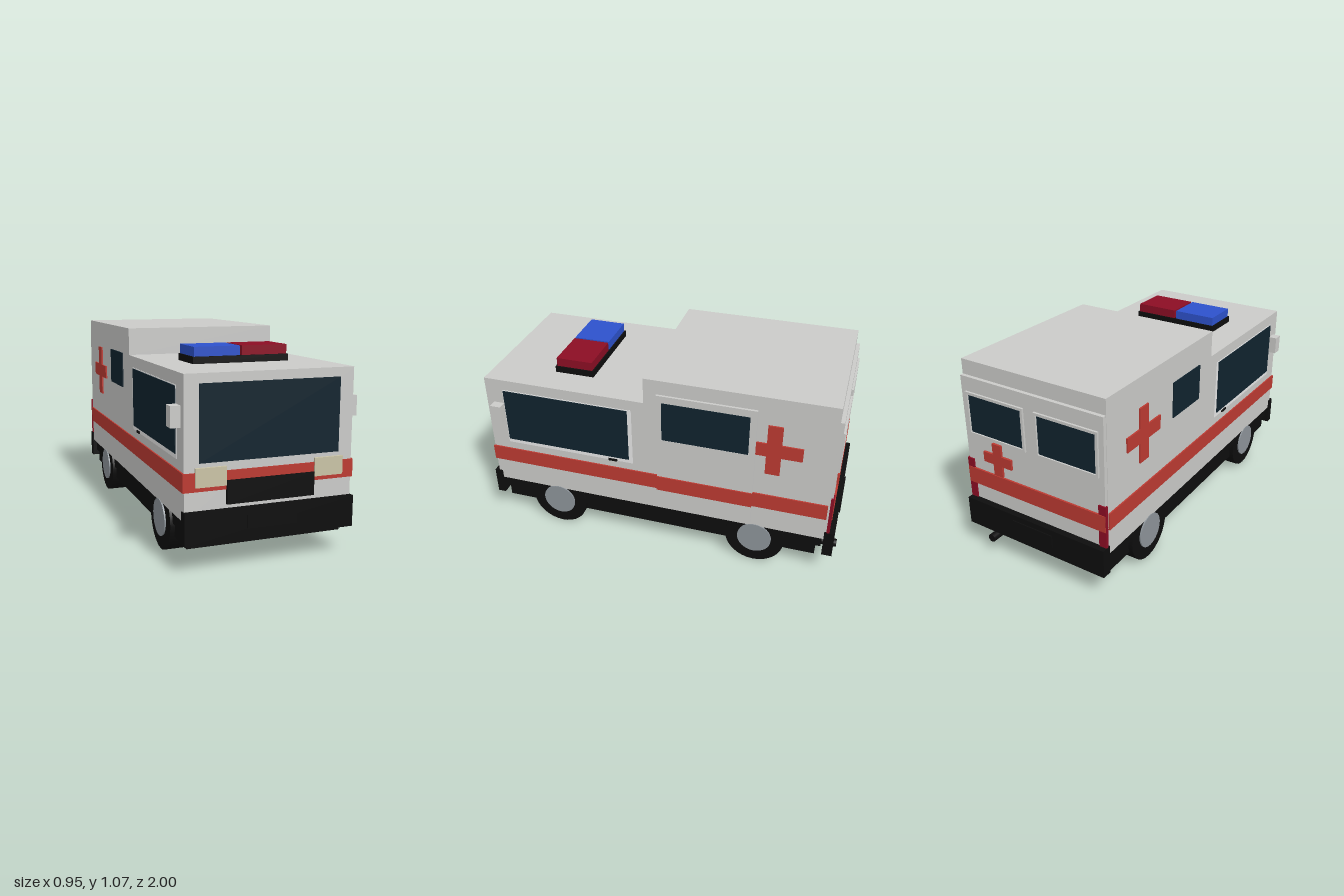
import * as THREE from 'three';

const mat = (name, color, extra = {}) => {
  const m = new THREE.MeshStandardMaterial({ color, ...extra });
  m.name = name;
  return m;
};

export function createModel() {
  const white = mat('bodyWhite', 0xcbcbc9);
  const trim = mat('trimWhite', 0xf4f4f4);
  const red = mat('signalRed', 0xbc3a32);
  const darkRed = mat('lampRed', 0x8c0e24);
  const blue = mat('lampBlue', 0x2d52cc);
  const glass = mat('glass', 0x10232e);
  const black = mat('black', 0x0d0d0d);
  const cream = mat('headlampCream', 0xcac3a6);
  const grey = mat('hubGrey', 0x8d949a);

  const root = new THREE.Group();
  root.name = 'ambulance';

  const add = (name, geo, material, parent = root) => {
    const m = new THREE.Mesh(geo, material);
    m.name = name;
    parent.add(m);
    return m;
  };
  // Box given by its extents on each axis
  const box = (name, material, x0, x1, y0, y1, z0, z1) => {
    const m = add(name, new THREE.BoxGeometry(Math.abs(x1 - x0), y1 - y0, Math.abs(z1 - z0)), material);
    m.position.set((x0 + x1) / 2, (y0 + y1) / 2, (z0 + z1) / 2);
    return m;
  };
  const crossGeo = (h, w, depth) => {
    const p = [[-w, -h], [w, -h], [w, -w], [h, -w], [h, w], [w, w], [w, h], [-w, h], [-w, w], [-h, w], [-h, -w], [-w, -w]];
    const s = new THREE.Shape(p.map(([x, y]) => new THREE.Vector2(x, y)));
    return new THREE.ExtrudeGeometry(s, { depth, bevelEnabled: false });
  };
  const frameGeo = (w, h, t, depth) => {
    const rect = (a, b) => [[-a, -b], [a, -b], [a, b], [-a, b]].map(([x, y]) => new THREE.Vector2(x, y));
    const s = new THREE.Shape(rect(w / 2, h / 2));
    s.holes.push(new THREE.Path(rect(w / 2 - t, h / 2 - t).reverse()));
    return new THREE.ExtrudeGeometry(s, { depth, bevelEnabled: false });
  };

  // Body: stepped side profile extruded across the width
  const profile = new THREE.Shape([[0.97, 0.25], [0.97, 0.925], [0.06, 0.925], [0.06, 1.07], [-0.93, 1.07], [-0.93, 0.25]]
    .map(([z, y]) => new THREE.Vector2(-z, y)));
  const bodyGeo = new THREE.ExtrudeGeometry(profile, { depth: 0.854, bevelEnabled: false });
  bodyGeo.translate(0, 0, -0.427).rotateY(Math.PI / 2);
  add('body', bodyGeo, white);
  box('rearDoors', white, -0.425, 0.425, 0.25, 0.99, -0.93, -0.95);

  // Chassis, bumpers and exhaust
  box('chassisUpper', black, -0.41, 0.41, 0.18, 0.252, -0.92, 0.96);
  box('chassisLower', black, -0.4, 0.4, 0.11, 0.18, -0.89, 0.93);
  box('frontBumper', black, -0.433, 0.433, 0.145, 0.3, 0.95, 0.995);
  box('rearBumper', black, -0.433, 0.433, 0.145, 0.3, -0.93, -0.985);
  box('frontPlate', black, -0.125, 0.125, 0.2, 0.27, 0.99, 1.0);
  box('rearPlate', black, -0.125, 0.125, 0.2, 0.27, -0.985, -0.992);
  const pipe = add('exhaust', new THREE.CylinderGeometry(0.022, 0.022, 0.2, 16), black);
  pipe.rotation.x = Math.PI / 2;
  pipe.position.set(0.277, 0.106, -0.9);

  // Wheels
  for (const side of [1, -1]) {
    for (const z of [0.597, -0.56]) {
      const wheel = new THREE.Group();
      wheel.name = 'wheel';
      wheel.position.set(side * 0.367, 0.165, z);
      wheel.rotation.z = Math.PI / 2;
      root.add(wheel);
      add('tyre', new THREE.CylinderGeometry(0.163, 0.163, 0.112, 32), black, wheel);
      add('hub', new THREE.CylinderGeometry(0.094, 0.094, 0.128, 32), grey, wheel);
    }
  }

  // Features shared by both sides
  for (const s of [1, -1]) {
    box('sideStripe', red, s * 0.425, s * 0.435, 0.39, 0.48, -0.93, 0.965);
    box('cabWindowTrim', trim, s * 0.425, s * 0.429, 0.525, 0.865, 0.13, 0.87);
    box('cabWindow', glass, s * 0.426, s * 0.433, 0.548, 0.86, 0.152, 0.865);
    box('cabHandle', black, s * 0.426, s * 0.435, 0.523, 0.535, 0.22, 0.27);
    box('mirror', white, s * 0.427, s * 0.475, 0.68, 0.78, 0.87, 0.93);
    const cross = add('sideCross', crossGeo(0.147, 0.038, 0.012), red);
    cross.position.set(s * 0.424, 0.768, -0.628);
    cross.rotation.y = s * Math.PI / 2;
    box('tailLamp', darkRed, s * 0.39, s * 0.432, 0.3, 0.53, -0.94, -0.957);
    box('headlamp', cream, s * 0.225, s * 0.375, 0.41, 0.5, 0.965, 0.983);

    // Rear door window with raised frame
    const frame = add('rearWindowFrame', frameGeo(0.365, 0.235, 0.014, 0.012), white);
    frame.position.set(s * 0.215, 0.795, -0.961);
    box('rearWindow', glass, s * 0.048, s * 0.382, 0.69, 0.9, -0.948, -0.953);
  }

  // Sliding door on the left, small fixed window on the right
  box('slidingDoor', white, 0.42, 0.44, 0.28, 0.99, -0.535, -0.01);
  box('doorStripe', red, 0.435, 0.447, 0.39, 0.48, -0.535, -0.01);
  box('doorWindowSill', white, 0.435, 0.444, 0.68, 0.725, -0.505, -0.035);
  box('doorWindow', glass, 0.437, 0.443, 0.725, 0.95, -0.5, -0.04);
  box('smallWindow', glass, -0.426, -0.433, 0.73, 0.925, -0.35, -0.075);

  // Front face
  box('windshield', glass, -0.355, 0.355, 0.52, 0.88, 0.967, 0.974);
  box('frontStripe', red, -0.435, 0.435, 0.39, 0.478, 0.963, 0.976);
  box('grille', black, -0.223, 0.223, 0.32, 0.433, 0.965, 0.985);

  // Rear stripe and cross
  box('rearStripe', red, -0.43, 0.43, 0.39, 0.48, -0.945, -0.96);
  const rearCross = add('rearCross', crossGeo(0.09, 0.028, 0.014), red);
  rearCross.position.set(0.22, 0.575, -0.962);

  // Roof light bar
  box('lightBarBase', black, -0.257, 0.257, 0.92, 0.96, 0.402, 0.622);
  box('beaconRed', darkRed, 0.005, 0.25, 0.958, 1.008, 0.41, 0.614);
  box('beaconBlue', blue, -0.25, -0.006, 0.958, 1.008, 0.41, 0.614);

  return root;
}
